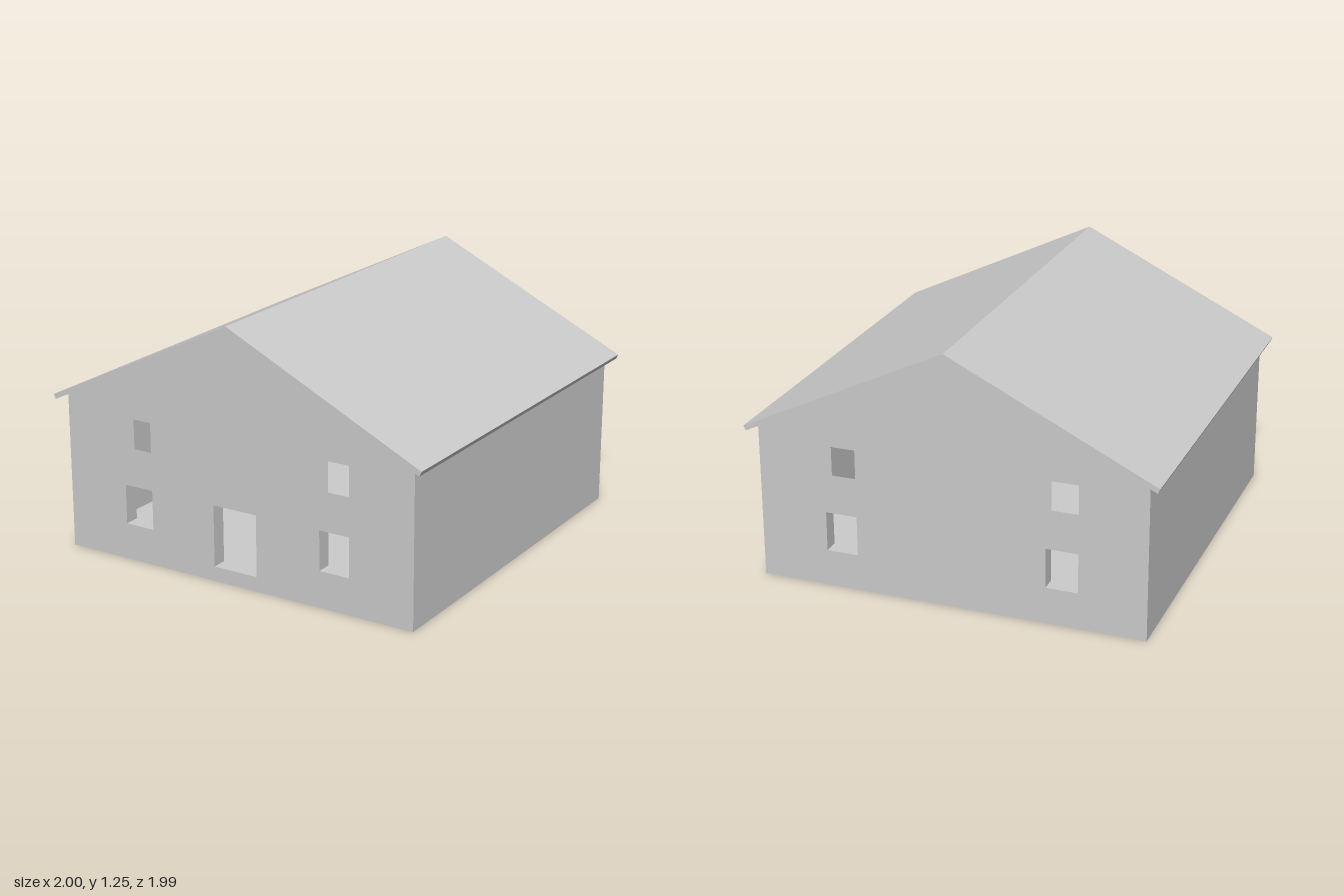
import * as THREE from 'three';
import { mergeGeometries } from 'three/addons/utils/BufferGeometryUtils.js';

const material = new THREE.MeshStandardMaterial({ color: 0xcccccc, side: THREE.DoubleSide, flatShading: true });

const OUT_Z = 0.955, IN_Z = 0.88; // outer and inner faces of the gable walls
const SLOPE = 0.485;

const rect = (x0, x1, y0, y1) => [[x0, y0], [x1, y0], [x1, y1], [x0, y1]];
const lowerWindows = [rect(-0.62, -0.465, 0.18, 0.375), rect(0.46, 0.615, 0.18, 0.375)];
const upperWindows = [rect(-0.62, -0.465, 0.53, 0.71), rect(0.46, 0.615, 0.53, 0.71)];
const door = rect(-0.115, 0.12, 0.072, 0.375);

// House-shaped outline: floor, two walls and a gable
function gable(halfWidth, floor, apex) {
  const eave = apex - SLOPE * halfWidth;
  return [[-halfWidth, floor], [halfWidth, floor], [halfWidth, eave], [0, apex], [-halfWidth, eave]];
}

const toVectors = (points) => points.map(([x, y]) => new THREE.Vector2(x, y));

// Flat gable-end skin with openings
function skin(outline, openings, z) {
  const shape = new THREE.Shape(toVectors(outline));
  openings.forEach((o) => shape.holes.push(new THREE.Path(toVectors(o))));
  const geometry = new THREE.ShapeGeometry(shape).toNonIndexed();
  geometry.deleteAttribute('uv');
  if (z < 0) geometry.scale(-1, 1, 1).rotateY(Math.PI).scale(1, 1, 1);
  return geometry.translate(0, 0, z);
}

// Band of quads carrying a closed outline from z0 to z1
function sweep(outline, z0, z1) {
  const positions = [];
  outline.forEach(([ax, ay], i) => {
    const [bx, by] = outline[(i + 1) % outline.length];
    positions.push(ax, ay, z0, bx, by, z0, bx, by, z1, ax, ay, z0, bx, by, z1, ax, ay, z1);
  });
  const geometry = new THREE.BufferGeometry();
  geometry.setAttribute('position', new THREE.Float32BufferAttribute(positions, 3));
  geometry.computeVertexNormals();
  return geometry;
}

export function createModel() {
  const house = new THREE.Group();
  house.name = 'house';
  const add = (name, geometry) => {
    const mesh = new THREE.Mesh(geometry, material);
    mesh.name = name;
    house.add(mesh);
  };

  const backOpenings = [...lowerWindows, ...upperWindows];
  const frontOpenings = [...backOpenings, door];

  // Outer and inner shells of the building
  const shells = [
    ['outerWalls', gable(0.945, 0, 1.228), OUT_Z],
    ['innerRoom', gable(0.87, 0.068, 1.145), IN_Z],
  ];
  for (const [name, outline, z] of shells) {
    add(name, mergeGeometries([
      skin(outline, frontOpenings, z),
      skin(outline, backOpenings, -z),
      sweep(outline, -z, z),
    ]));
  }

  // Reveals lining the ground-floor openings; the upper ones are unlined
  add('windowReveals', mergeGeometries(lowerWindows.flatMap((w) => [
    sweep(w, OUT_Z, IN_Z),
    sweep(w, -IN_Z, -OUT_Z),
  ])));
  add('doorReveal', sweep(door, OUT_Z, IN_Z));

  // Thin pitched roof overhanging all sides
  const roofProfile = [[0, 1.255], [-1, 0.77], [-0.989, 0.747], [0, 1.228], [0.989, 0.747], [1, 0.77]];
  const roof = new THREE.ExtrudeGeometry(new THREE.Shape(toVectors(roofProfile)), { depth: 1.99, bevelEnabled: false });
  add('roof', roof.translate(0, 0, -0.995));

  return house;
}
